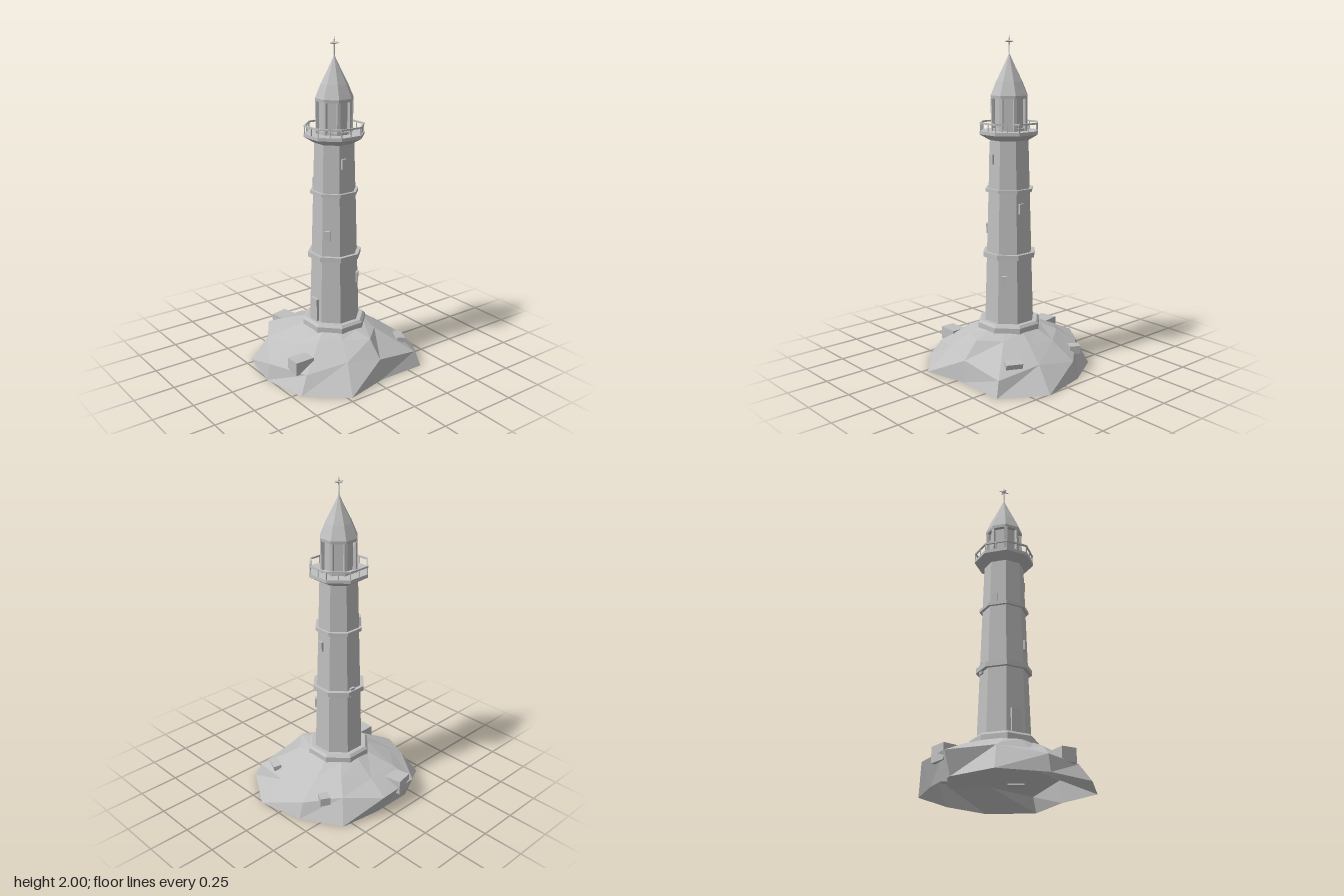
import * as THREE from 'three';

export function createModel() {
  const model = new THREE.Group();
  const stone = new THREE.MeshStandardMaterial({ color: 0xc0c0c0, flatShading: true, side: THREE.DoubleSide });
  stone.name = 'stone grey';
  const tower = new THREE.Group();
  tower.name = 'tower';
  tower.position.x = -0.011;
  model.add(tower);

  const add = (name, geometry, parent = tower) => {
    const mesh = new THREE.Mesh(geometry, stone);
    mesh.name = name;
    parent.add(mesh);
    return mesh;
  };
  // Eight-sided solid from [apothem, y] pairs, flats facing the axes
  const K = 1 / Math.cos(Math.PI / 8);
  const octagon = (name, profile) => add(name, new THREE.LatheGeometry(
    profile.map(([a, y]) => new THREE.Vector2(a * K, y)), 8, Math.PI / 8));

  // Rocky island: four uneven rings of [x, y, z] around an open base
  const rings = [
    [[-.2, 0, -.41], [.05, 0, -.41], [.31, 0, -.372], [.448, 0, -.135], [.51, 0, .15], [.35, 0, .41],
      [.045, 0, .405], [-.225, 0, .468], [-.455, 0, .282], [-.51, 0, 0], [-.45, 0, -.285]],
    [[-.215, .13, -.452], [.055, .13, -.465], [.255, .15, -.31], [.415, .1, -.13], [.375, .13, .11], [.325, .09, .375],
      [.04, .13, .392], [-.16, .15, .335], [-.39, .1, .245], [-.49, .1, 0], [-.36, .15, -.23]],
    [[-.17, .19, -.33], [.03, .19, -.33], [.18, .22, -.22], [.27, .2, -.1], [.25, .21, .07], [.155, .23, .19],
      [.035, .23, .3], [-.11, .23, .22], [-.22, .23, .13], [-.3, .18, 0], [-.3, .19, -.17]],
  ];
  rings.push(rings[2].map(([x, , z]) => {
    const r = 0.19 / Math.hypot(x, z);
    return [x * r - 0.011, 0.255, z * r];
  }));
  const n = rings[0].length, positions = rings.flat(2), index = [];
  positions.push(-0.011, 0.255, 0);
  for (let i = 0; i < n; i++) {
    const j = (i + 1) % n;
    for (let r = 0; r < 3; r++) {
      const a = r * n + i, b = r * n + j;
      index.push(a, a + n, b, b, a + n, b + n);
    }
    index.push(3 * n + i, 4 * n, 3 * n + j);
  }
  const island = new THREE.BufferGeometry();
  island.setAttribute('position', new THREE.Float32BufferAttribute(positions, 3));
  island.setIndex(index);
  const islandFaces = island.toNonIndexed();
  islandFaces.computeVertexNormals();
  add('island', islandFaces, model);

  // Boulders: size, position, rotation
  [
    [[.11, .09, .135], [-.121, .133, -.39], [0, .2, 0]],
    [[.125, .08, .09], [-.372, .132, .16], [0, 0, 0]],
    [[.06, .05, .065], [.327, .132, -.225], [0, -.5, 0]],
    [[.05, .03, .1], [.308, .147, .248], [0, -.45, -.2]],
  ].forEach(([size, position, rotation]) => {
    const rock = add('boulder', new THREE.BoxGeometry(...size), model);
    rock.position.set(...position);
    rock.rotation.set(...rotation);
  });

  // Masonry
  octagon('plinth', [[0, .24], [.182, .24], [.182, .285], [.168, .3], [0, .3]]);
  octagon('shaft', [[0, .29], [.143, .29], [.111, 1.41]]);
  octagon('lowerBand', [[.125, .695], [.152, .695], [.152, .725], [.125, .725]]);
  octagon('upperBand', [[.11, 1.09], [.136, 1.09], [.136, 1.11], [.11, 1.11]]);
  octagon('gallery', [[.111, 1.395], [.168, 1.43], [.168, 1.45], [0, 1.45]]);

  // Windows climb the shaft in a spiral of 135 degree steps
  const onFace = (name, angle, y, w, h, depth, shift) => {
    const pivot = new THREE.Group();
    pivot.name = name;
    pivot.rotation.y = angle;
    tower.add(pivot);
    const apothem = 0.143 - (y - 0.29) * 0.0286;
    add(name + 'Panel', new THREE.BoxGeometry(w, h, depth), pivot).position.set(shift, y, apothem + 0.003);
  };
  for (let i = 0; i < 6; i++)
    onFace('window', Math.PI / 4 + i * Math.PI * 0.75, 0.565 + i * 0.144, 0.032, 0.06, 0.02, -0.02);
  onFace('door', -Math.PI / 2, 0.37, 0.065, 0.145, 0.026, 0);

  // Gallery railing
  octagon('handrail', [[.159, 1.49], [.168, 1.49], [.168, 1.5], [.159, 1.5], [.159, 1.49]]);
  for (let i = 0; i < 16; i++) {
    const angle = i * Math.PI / 8, r = i % 2 ? 0.163 * K : 0.163;
    add('railPost', new THREE.BoxGeometry(.005, .05, .005))
      .position.set(Math.sin(angle) * r, 1.47, Math.cos(angle) * r);
  }

  // Lantern room
  octagon('lanternCore', [[.08, 1.45], [.08, 1.64]]);
  for (let i = 0; i < 8; i++) {
    const angle = (i + 0.5) * Math.PI / 4, r = 0.094 * K;
    const post = add('lanternPost', new THREE.BoxGeometry(.02, .19, .018));
    post.position.set(Math.sin(angle) * r, 1.545, Math.cos(angle) * r);
    post.rotation.y = angle;
  }
  octagon('lanternSill', [[.08, 1.465], [.099, 1.465], [.099, 1.45]]);
  octagon('roof', [[0, 1.637], [.104, 1.637], [.106, 1.655], [.074, 1.736], [.036, 1.816], [.012, 1.87], [0, 1.9]]);

  // Finial with a six-pointed star
  add('finialRod', new THREE.CylinderGeometry(.003, .003, .1, 6)).position.y = 1.915;
  const up = new THREE.Vector3(0, 1, 0);
  for (let i = 0; i < 6; i++) {
    const dir = new THREE.Vector3().setComponent(i % 3, i < 3 ? 1 : -1);
    const spike = add('starSpike', new THREE.ConeGeometry(.008, .035, 4));
    spike.quaternion.setFromUnitVectors(up, dir);
    spike.position.set(0, 1.964, 0).addScaledVector(dir, 0.0185);
  }
  return model;
}
